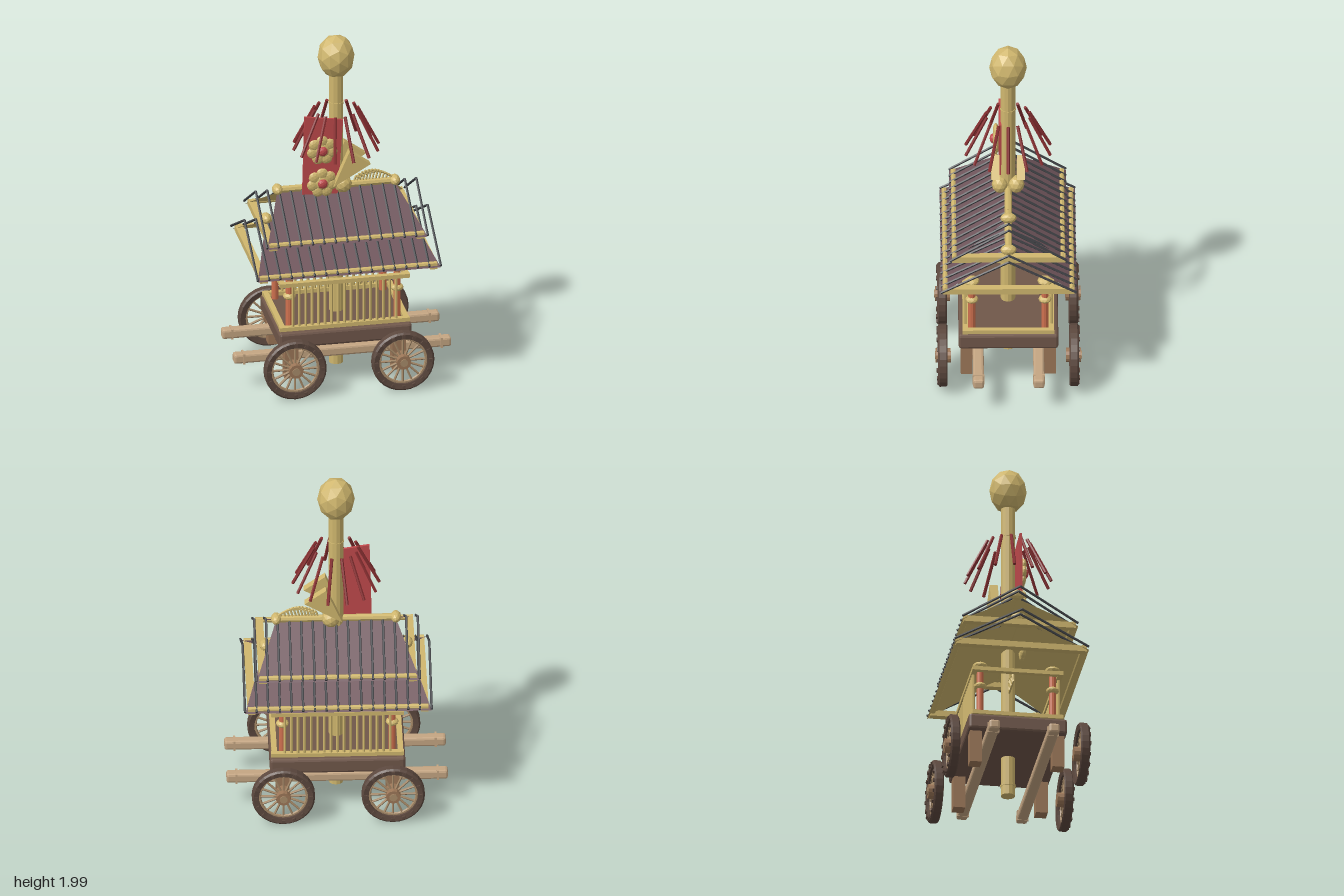
import * as THREE from 'three';
import { RoundedBoxGeometry } from 'three/addons/geometries/RoundedBoxGeometry.js';

const mat = (color) => new THREE.MeshStandardMaterial({ color, flatShading: true });
const gold = mat(0xd0b76e), purple = mat(0x6e545a), iron = mat(0x404246), red = mat(0xc04a4c);
const darkRed = mat(0x8a3032), orange = mat(0xd0714f), brown = mat(0x70574a), darkBrown = mat(0x5c483e);
const tan = mat(0xc4a582), wood = mat(0x9c7758), spokeWood = mat(0xa98c6a);
const V = (x, y, z) => new THREE.Vector3(x, y, z);

function add(parent, name, geometry, material, x = 0, y = 0, z = 0) {
  const mesh = new THREE.Mesh(geometry, material);
  mesh.name = name;
  mesh.position.set(x, y, z);
  parent.add(mesh);
  return mesh;
}
const box = (p, name, w, h, d, m, x, y, z) => add(p, name, new THREE.BoxGeometry(w, h, d), m, x, y, z);

// Cylinder running from point a to point b
function rod(p, name, a, b, r, m, sides = 6) {
  const dir = b.clone().sub(a);
  const mesh = add(p, name, new THREE.CylinderGeometry(r, r, dir.length(), sides), m);
  mesh.position.copy(a).add(b).multiplyScalar(0.5);
  mesh.quaternion.setFromUnitVectors(V(0, 1, 0), dir.normalize());
  return mesh;
}
function ball(p, name, rx, ry, rz, m, x, y, z, detail = 1) {
  const mesh = add(p, name, new THREE.IcosahedronGeometry(1, detail), m, x, y, z);
  mesh.scale.set(rx, ry, rz);
  return mesh;
}
function group(parent, name, x = 0, y = 0, z = 0) {
  const g = new THREE.Group();
  g.name = name;
  g.position.set(x, y, z);
  parent.add(g);
  return g;
}

// Spoked wheel, outer face towards +z
function makeWheel(parent, x, side) {
  const w = group(parent, 'wheel', x, 0.18, side * 0.36);
  if (side < 0) w.rotation.y = Math.PI;
  const profile = [[0.135, -0.02], [0.165, -0.027], [0.173, -0.02], [0.173, 0.016], [0.163, 0.025], [0.135, 0.02], [0.135, -0.02]];
  const rim = add(w, 'rim', new THREE.LatheGeometry(profile.map(([r, h]) => new THREE.Vector2(r, h)), 28), darkBrown);
  rim.rotation.x = Math.PI / 2;
  add(w, 'innerRing', new THREE.TorusGeometry(0.13, 0.009, 6, 28), spokeWood);
  for (let i = 0; i < 16; i++) {
    const a = i * Math.PI / 8, c = Math.cos(a), s = Math.sin(a);
    rod(w, 'spoke', V(c * 0.03, s * 0.03, 0), V(c * 0.137, s * 0.137, 0), 0.0065, spokeWood);
    box(w, 'rimStud', 0.018, 0.018, 0.01, darkBrown, c * 0.151, s * 0.151, 0.026).rotation.z = a;
  }
  rod(w, 'hub', V(0, 0, -0.045), V(0, 0, 0.037), 0.04, wood, 12);
  rod(w, 'hubCap', V(0, 0, 0.03), V(0, 0, 0.042), 0.022, spokeWood, 10);
}

// One pitched roof: two tapered slopes, ribs, eave beams and a ridge
function makeRoof(parent, name, eaveY, halfX, halfZ, ribs) {
  const roof = group(parent, name), ridgeX = halfX - 0.12, rise = 0.2;
  const slope = (side, drop, up, m, part) => {
    const y = eaveY - drop;
    const corners = [-halfX, y, side * halfZ, halfX, y, side * halfZ, ridgeX, y + rise, 0, -ridgeX, y + rise, 0];
    const geo = new THREE.BufferGeometry();
    geo.setAttribute('position', new THREE.Float32BufferAttribute(corners, 3));
    geo.setIndex((side > 0) === up ? [0, 1, 2, 0, 2, 3] : [0, 2, 1, 0, 3, 2]);
    geo.computeVertexNormals();
    add(roof, part, geo, m);
  };
  for (const s of [-1, 1]) {
    slope(s, 0, true, purple, 'roofTiles');
    slope(s, 0.01, false, gold, 'roofUnderside');
    for (let i = 0; i < ribs; i++) {
      const x = -halfX + (2 * halfX * i) / (ribs - 1);
      rod(roof, 'rib', V(x, eaveY + 0.008, s * halfZ), V(x, eaveY + rise + 0.008, 0), 0.007, iron, 5);
    }
    const bz = halfZ - 0.025, bx = halfX - 0.02;
    rod(roof, 'eaveBeam', V(-bx, eaveY + 0.012, s * bz), V(bx, eaveY + 0.012, s * bz), 0.015, gold, 8);
    box(roof, 'endBeam', 0.042, 0.034, bz * 2 + 0.03, gold, s * (halfX - 0.037), eaveY + 0.003, 0);
    ball(roof, 'ridgeFinial', 0.03, 0.03, 0.045, gold, s * ridgeX, eaveY + rise + 0.01, 0);
  }
  rod(roof, 'ridge', V(-ridgeX, eaveY + rise + 0.008, 0), V(ridgeX, eaveY + rise + 0.008, 0), 0.02, gold, 8);
}

// Scalloped flower with a red centre
function makeFlower(parent, x, y, z) {
  const f = group(parent, 'flower', x, y, z);
  for (let i = 0; i < 7; i++) {
    const a = Math.PI / 2 + (i * Math.PI * 2) / 7;
    ball(f, 'petal', 0.034, 0.034, 0.016, gold, Math.cos(a) * 0.053, Math.sin(a) * 0.053, 0);
  }
  ball(f, 'flowerDisc', 0.045, 0.045, 0.016, gold, 0, 0, 0.004);
  ball(f, 'flowerCentre', 0.028, 0.028, 0.018, red, 0, 0, 0.016);
}

// Row of slanted strands following a shallow arch
function makeFringe(parent, x0, x1, y, height) {
  const fringe = group(parent, 'strandFringe');
  for (let i = 0; i <= 12; i++) {
    const t = i / 12, x = x0 + (x1 - x0) * t, top = y + height * Math.sin(Math.PI * (0.2 + 0.75 * t));
    rod(fringe, 'strand', V(x - 0.025, y - 0.03, 0), V(x, top, 0), 0.006, gold, 5);
    rod(fringe, 'strandTip', V(x, top, 0), V(x + 0.03, top - 0.015, 0), 0.007, gold, 5);
  }
}

export function createModel() {
  const model = new THREE.Group();
  model.name = 'festivalFloat';

  // Running gear
  for (const s of [-1, 1]) {
    for (const x of [-0.3, 0.3]) {
      makeWheel(model, x, s);
      box(model, 'axleBlock', 0.075, 0.2, 0.065, wood, x, 0.18, s * 0.228);
    }
    const bar = add(model, 'pullingBar', new RoundedBoxGeometry(1.21, 0.055, 0.06, 1, 0.012), tan, 0, 0.188, s * 0.165);
    for (const x of [-0.55, 0.55]) box(bar, 'barBand', 0.012, 0.059, 0.064, tan, x, 0, 0);
  }
  add(model, 'chassis', new RoundedBoxGeometry(0.74, 0.09, 0.545, 1, 0.014), brown, 0, 0.31, 0);

  // Cabin rails, bars and posts
  for (const y of [0.37, 0.633]) {
    for (const s of [-1, 1]) {
      box(model, 'longRail', 0.725, 0.023, 0.03, gold, 0, y, s * 0.235);
      box(model, 'sideRail', 0.03, 0.022, 0.47, gold, s * 0.345, y, 0);
    }
  }
  for (const s of [-1, 1]) {
    for (let i = 0; i < 17; i++) {
      const x = -0.288 + i * 0.036;
      rod(model, 'railBar', V(x, 0.375, s * 0.236), V(x, 0.63, s * 0.236), 0.0085, gold, 6);
    }
    for (const x of [-0.3, 0.3]) {
      rod(model, 'post', V(x, 0.35, s * 0.2), V(x, 0.66, s * 0.2), 0.02, orange, 10);
      ball(model, 'postCollar', 0.036, 0.022, 0.036, gold, x, 0.55, s * 0.2);
      ball(model, 'postKnob', 0.042, 0.022, 0.042, gold, x, 0.67, s * 0.2);
    }
  }

  // Two stacked roofs
  makeRoof(model, 'lowerRoof', 0.725, 0.51, 0.37, 17);
  makeRoof(model, 'upperRoof', 0.892, 0.447, 0.32, 15);

  // Centre pole and orb
  rod(model, 'pole', V(0, 0.04, 0), V(0, 1.77, 0), 0.04, gold, 12);
  for (const y of [0.1, 1.6]) rod(model, 'poleBand', V(0, y - 0.006, 0), V(0, y + 0.006, 0), 0.043, gold, 12);
  ball(model, 'orb', 0.103, 0.125, 0.103, gold, 0, 1.875, 0, 1);

  // Ring of splayed sticks
  for (let i = 0; i < 14; i++) {
    const a = (i * Math.PI) / 7, c = Math.cos(a), s = Math.sin(a);
    rod(model, 'splayedStick', V(c * 0.12, 1.56, s * 0.12), V(c * 0.237, 1.33, s * 0.237), 0.009, darkRed, 6);
  }

  // Banner with flowers
  const cloth = new THREE.Shape([[-0.197, 1.08], [0, 1.07], [0.03, 1.51], [-0.185, 1.545]].map(([x, y]) => new THREE.Vector2(x, y)));
  add(model, 'banner', new THREE.ExtrudeGeometry(cloth, { depth: 0.014, bevelEnabled: false }), red, 0, 0, 0.036);
  for (const y of [1.345, 1.15, 0.91]) makeFlower(model, -0.09, y, 0.066);

  // Fans and buds on both faces of the pole
  const fan = new THREE.Shape([[-0.03, 1.13], [0.175, 1.25], [0.058, 1.335]].map(([x, y]) => new THREE.Vector2(x, y)));
  for (const s of [-1, 1]) {
    add(model, 'fan', new THREE.ExtrudeGeometry(fan, { depth: 0.045, bevelEnabled: false }), gold, 0, 0, s * 0.07 - 0.0225);
    ball(model, 'bud', 0.05, 0.05, 0.045, gold, 0.03, 1.125, s * 0.045);
  }
  makeFringe(model, 0.11, 0.32, 1.1, 0.075);
  makeFringe(model, -0.17, -0.01, 0.67, 0.06);

  return model;
}
